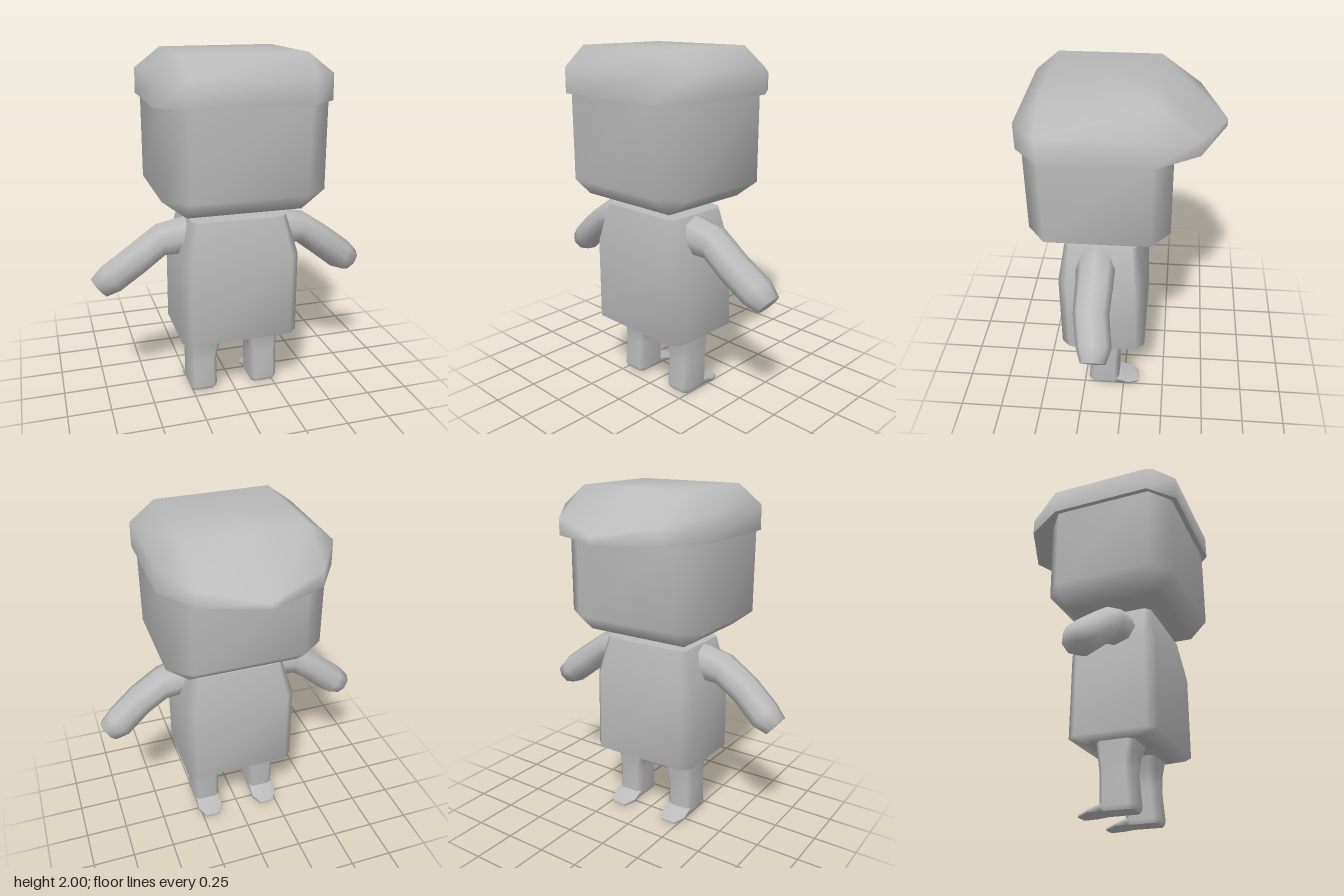
import * as THREE from 'three';
import { mergeVertices, mergeGeometries } from 'three/addons/utils/BufferGeometryUtils.js';

function geo(points, index) {
  const g = new THREE.BufferGeometry();
  g.setAttribute('position', new THREE.Float32BufferAttribute(points.flat(), 3));
  g.setIndex(index);
  const merged = mergeVertices(g, 1e-5);
  merged.computeVertexNormals();
  return merged;
}

const centre = (ring) => [0, 1, 2].map((k) => ring.reduce((s, p) => s + p[k], 0) / ring.length);
// A ring shrunk to one point closes an end with smooth shading
const closed = (ring) => ring.map(() => centre(ring));

// Smooth skin through rings; crisp flat caps at the chosen ends
function loft(rings, capStart = false, capEnd = false) {
  const n = rings[0].length, index = [];
  const pts = rings.flat();
  const same = (a, b) => pts[a].every((v, k) => Math.abs(v - pts[b][k]) < 1e-5);
  const tri = (a, b, c) => {
    if (!same(a, b) && !same(b, c) && !same(a, c)) index.push(a, b, c);
  };
  for (let r = 0; r < rings.length - 1; r++) {
    for (let i = 0; i < n; i++) {
      const a = r * n + i, b = r * n + (i + 1) % n;
      tri(a, b, b + n);
      tri(a, b + n, a + n);
    }
  }
  const parts = [geo(pts, index)];
  const cap = (ring, flip) => {
    const idx = [];
    for (let i = 0; i < n; i++) {
      const j = (i + 1) % n;
      idx.push(n, flip ? j : i, flip ? i : j);
    }
    parts.push(geo([...ring, centre(ring)], idx));
  };
  if (capStart) cap(rings[0], true);
  if (capEnd) cap(rings[rings.length - 1], false);
  return mergeGeometries(parts);
}

// Horizontal rectangle with cut corners
function octagon(y, x0, x1, z0, z1, cx, cz = cx) {
  return [
    [x0 + cx, y, z1], [x1 - cx, y, z1], [x1, y, z1 - cz], [x1, y, z0 + cz],
    [x1 - cx, y, z0], [x0 + cx, y, z0], [x0, y, z0 + cz], [x0, y, z1 - cz],
  ];
}

// Eight-sided limb section between an upper and a lower point
function limbRing(tx, ty, bx, by, z0, z1) {
  return Array.from({ length: 8 }, (_, i) => {
    const t = (i / 8) * Math.PI * 2;
    const c = Math.cos(t) / 2, s = Math.sin(t) / 2;
    return [(tx + bx) / 2 + c * (tx - bx), (ty + by) / 2 + c * (ty - by), (z0 + z1) / 2 + s * (z1 - z0)];
  });
}

// Mirrors rings across x = 0, keeping faces outward
const side = (rings, s) =>
  s > 0 ? rings : rings.map((r) => r.map(([x, y, z]) => [-x, y, z]).reverse());

export function createModel() {
  const model = new THREE.Group();
  model.name = 'cappedFigure';
  const grey = new THREE.MeshStandardMaterial({ color: 0xbcbcbc });
  grey.name = 'grey';
  const add = (name, geometry) => {
    const mesh = new THREE.Mesh(geometry, grey);
    mesh.name = name;
    model.add(mesh);
  };

  // Head: bevelled block
  const chin = octagon(1.17, -0.32, 0.32, -0.15, 0.4, 0);
  add('head', loft([
    closed(chin), chin,
    octagon(1.27, -0.45, 0.45, -0.26, 0.5, 0.13, 0.1),
    octagon(1.76, -0.45, 0.45, -0.26, 0.5, 0.13, 0.1),
  ], false, true));

  // Cap: outline with a pointed peak, upper edge height, crown corner
  const outline = [
    [-0.33, 0.53, 1.89, -0.33, 0.4], [0.33, 0.53, 1.89, 0.33, 0.4],
    [0.475, 0.4, 1.89, 0.33, 0.4], [0.475, -0.17, 1.89, 0.33, -0.17],
    [0.33, -0.39, 1.84, 0.33, -0.17], [0, -0.53, 1.79, 0, -0.17],
    [-0.33, -0.39, 1.84, -0.33, -0.17], [-0.475, -0.17, 1.89, -0.33, -0.17],
    [-0.475, 0.4, 1.89, -0.33, 0.4],
  ];
  const crown = outline.map(([, , , x, z]) => [x, 2, z]);
  add('cap', loft([
    outline.map(([x, z]) => [x * 1.005, 1.75, z]),
    outline.map(([x, z, y]) => [x, y, z]),
    crown, closed(crown),
  ], true));

  // Torso: tapered shoulders, slightly bulging underside
  const under = octagon(0.375, -0.27, 0.27, -0.03, 0.27, 0.04);
  add('torso', loft([
    closed(under), under,
    octagon(0.4, -0.34, 0.34, -0.13, 0.37, 0.05),
    octagon(0.88, -0.34, 0.34, -0.12, 0.37, 0.05),
    octagon(1.11, -0.27, 0.27, -0.08, 0.33, 0.03),
  ], false, true));

  for (const s of [1, -1]) {
    const prefix = s > 0 ? 'left' : 'right';

    // Arm: shoulder, elbow bend, blunt hand
    const hand = limbRing(0.81, 0.77, 0.72, 0.66, 0.05, 0.19);
    add(prefix + 'Arm', loft(side([
      limbRing(0.22, 1.11, 0.28, 0.87, 0.04, 0.26),
      limbRing(0.3, 1.1, 0.34, 0.88, 0.04, 0.26),
      limbRing(0.43, 1.07, 0.4, 0.88, 0.04, 0.25),
      limbRing(0.6, 0.955, 0.51, 0.795, 0.05, 0.25),
      limbRing(0.75, 0.84, 0.64, 0.69, 0.025, 0.22),
      hand, closed(hand),
    ], s), true));

    // Leg: inner side flares toward the hips
    add(prefix + 'Leg', loft(side([
      octagon(0.015, 0.115, 0.26, 0.035, 0.21, 0.02),
      octagon(0.04, 0.105, 0.27, 0.03, 0.22, 0.025),
      octagon(0.21, 0.105, 0.27, 0.03, 0.205, 0.025),
      octagon(0.3, 0.085, 0.272, 0.02, 0.21, 0.025),
      octagon(0.4, 0.04, 0.275, 0.01, 0.23, 0.025),
    ], s), true, true));

    // Toe: thin flap at the foot of the leg
    const toe = (z, x0, x1, y0, y1) => [[x0, y1, z], [x1, y1, z], [x1, y0, z], [x0, y0, z]];
    add(prefix + 'Toe', loft(side([
      toe(0.06, 0.115, 0.26, 0.015, 0.06),
      toe(0.03, 0.115, 0.26, 0.015, 0.05),
      toe(-0.03, 0.11, 0.265, 0.01, 0.027),
      toe(-0.095, 0.145, 0.23, 0, 0.012),
    ], s), true, true));
  }

  return model;
}
